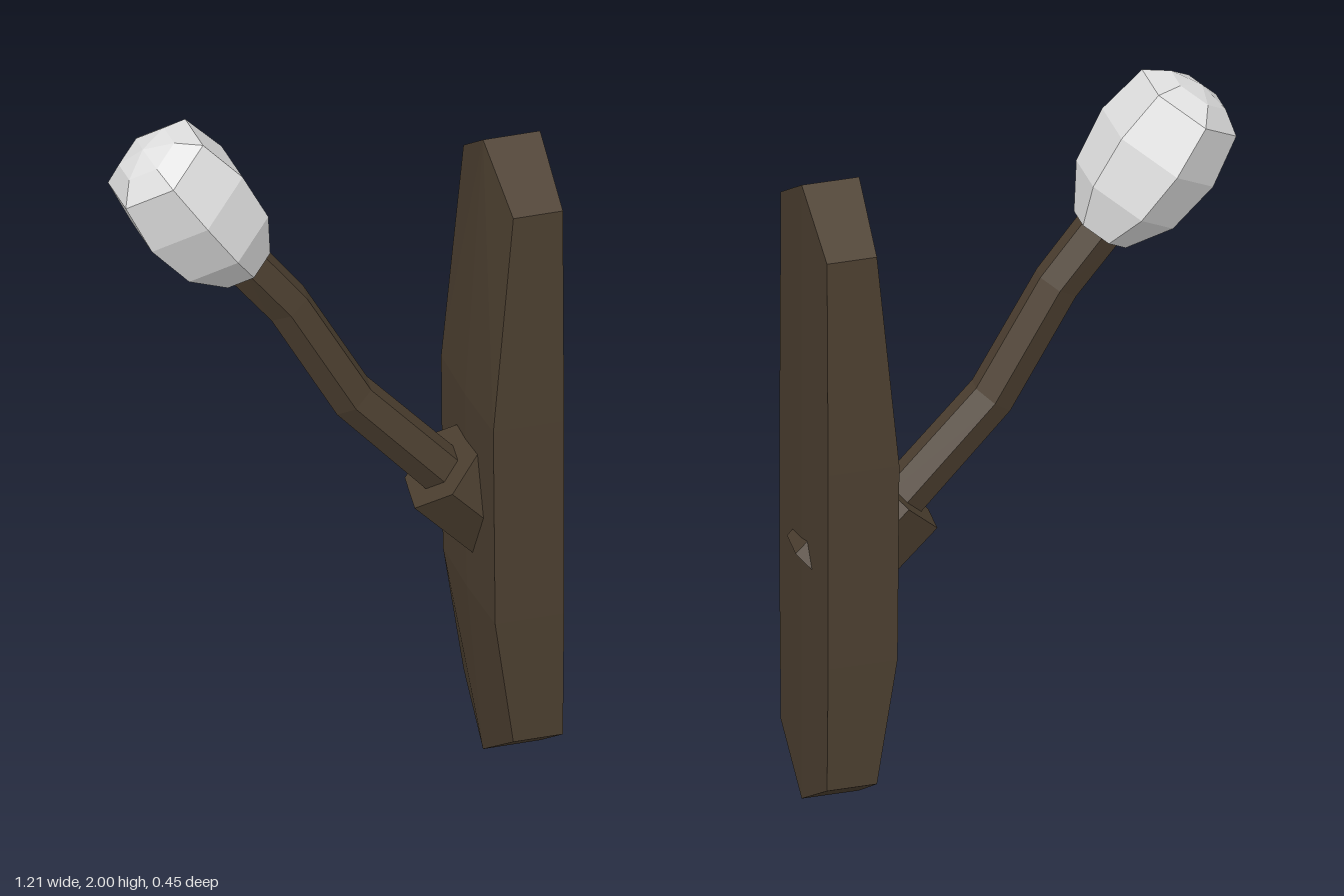
import * as THREE from 'three';
import { ConvexGeometry } from 'three/addons/geometries/ConvexGeometry.js';

const wood = new THREE.MeshStandardMaterial({ color: 0x4c3f30, flatShading: true });
wood.name = 'dark wood';
const glass = new THREE.MeshStandardMaterial({ color: 0xe0e0e0, flatShading: true });
glass.name = 'pale glass';

const TWIST = -70 * Math.PI / 180; // turn shared by the six-sided socket and arm

function part(name, geometry, material) {
  const mesh = new THREE.Mesh(geometry, material);
  mesh.name = name;
  return mesh;
}

// Wall plate: long hexagon with a shallow ridge down the middle, tapered at the ends
function wallPlate() {
  // ridge y, ridge x, edge y, edge x, edge half width
  const rows = [
    [0, 0.415, 0.13, 0.43, 0.213],
    [0.5, 0.37, 0.5, 0.376, 0.223],
    [1.08, 0.365, 1.08, 0.371, 0.223],
    [1.84, 0.415, 1.71, 0.43, 0.213],
  ];
  const points = [];
  for (const [ry, rx, ey, ex, w] of rows) {
    points.push(new THREE.Vector3(rx, ry, 0), new THREE.Vector3(0.574, ry, 0));
    for (const s of [-1, 1]) {
      points.push(new THREE.Vector3(ex, ey, s * w), new THREE.Vector3(0.568, ey, s * w));
    }
  }
  return new ConvexGeometry(points);
}

// Bent arm: a six-sided cylinder whose rows follow the path, mitred at the joints
function bentArm() {
  const path = [[0.38, 0.78], [0.05, 1.13], [-0.13, 1.44], [-0.26, 1.6]]
    .map(([x, y]) => new THREE.Vector2(x, y));
  const radius = [0.069, 0.066, 0.065, 0.066];
  const last = path.length - 1;
  const geometry = new THREE.CylinderGeometry(1, 1, 1, 6, last, false, TWIST);
  const position = geometry.attributes.position;
  for (let i = 0; i < position.count; i++) {
    const row = Math.round((position.getY(i) + 0.5) * last);
    const along = path[Math.min(row + 1, last)].clone()
      .sub(path[Math.max(row - 1, 0)]).normalize();
    const across = position.getX(i) * radius[row];
    position.setXYZ(i,
      path[row].x + along.y * across,
      path[row].y - along.x * across,
      position.getZ(i) * radius[row]);
  }
  geometry.computeVertexNormals();
  return geometry;
}

export function createModel() {
  const model = new THREE.Group();
  model.name = 'wallLamp';

  model.add(part('wallPlate', wallPlate(), wood));

  // Tilted socket passing through the plate
  const socket = part('socket', new THREE.CylinderGeometry(0.14, 0.14, 0.297, 6, 1, false, TWIST), wood);
  socket.position.set(0.407, 0.775, 0);
  socket.rotation.z = Math.PI / 4;
  model.add(socket);

  model.add(part('arm', bentArm(), wood));

  // Faceted bulb at the end of the arm
  const profile = [[0, 0], [0.084, 0], [0.157, 0.117], [0.18, 0.273], [0.153, 0.422], [0.089, 0.465], [0, 0.483]]
    .map(([r, y]) => new THREE.Vector2(r, y));
  const bulb = part('bulb', new THREE.LatheGeometry(profile, 6), glass);
  bulb.position.set(-0.25, 1.58, 0);
  bulb.rotation.z = Math.atan2(0.585, 0.81);
  model.add(bulb);

  return model;
}
